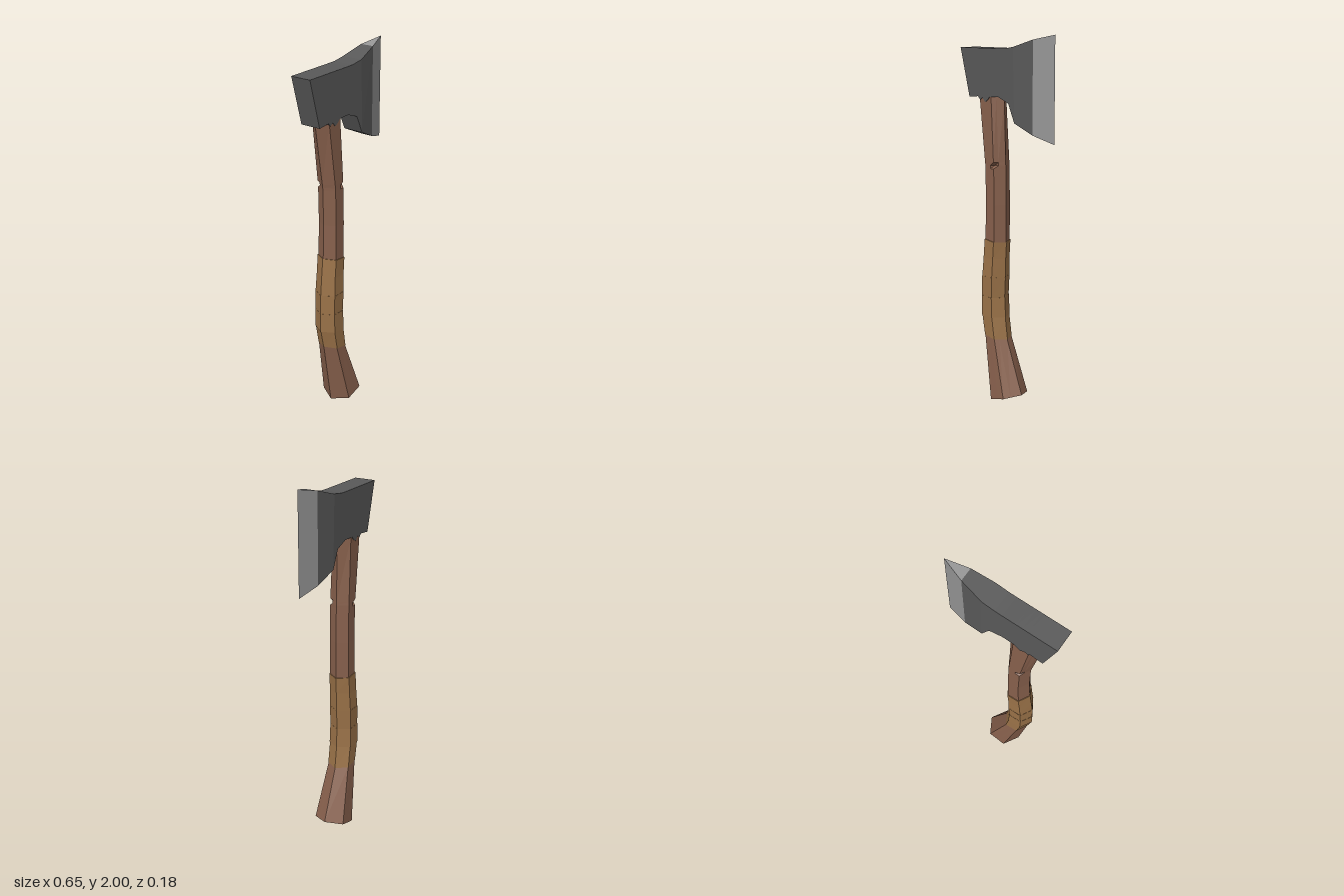
import * as THREE from 'three';

const mat = (name, color) => Object.assign(new THREE.MeshStandardMaterial({ color, flatShading: true }), { name });

// Skin a list of equal-length rings of Vector3 and close both ends
function loft(rings) {
  const tris = [];
  const n = rings[0].length;
  for (let i = 0; i < rings.length - 1; i++) {
    for (let j = 0; j < n; j++) {
      const k = (j + 1) % n;
      const [a, b, c, d] = [rings[i][j], rings[i][k], rings[i + 1][k], rings[i + 1][j]];
      tris.push([a, b, c], [a, c, d]);
    }
  }
  const first = rings[0], last = rings[rings.length - 1];
  for (let j = 1; j < n - 1; j++) {
    tris.push([first[0], first[j + 1], first[j]], [last[0], last[j], last[j + 1]]);
  }
  // Turn the surface outward when its signed volume is negative
  const cross = new THREE.Vector3();
  const volume = tris.reduce((s, [a, b, c]) => s + a.dot(cross.crossVectors(b, c)), 0);
  if (volume < 0) tris.forEach((t) => t.reverse());
  const geometry = new THREE.BufferGeometry().setFromPoints(tris.flat());
  geometry.computeVertexNormals();
  return geometry;
}

// Handle stations: left x, left y, right x, right y, half depth
const stations = [
  [-0.11, 0.005, 0.09, 0.06, 0.09],
  [-0.17, 0.375, -0.025, 0.35, 0.063],
  [-0.19, 0.48, -0.045, 0.475, 0.061],
  [-0.193, 0.59, -0.049, 0.585, 0.061],
  [-0.188, 0.70, -0.046, 0.70, 0.06],
  [-0.181, 0.80, -0.04, 0.805, 0.059],
  [-0.169, 0.91, -0.035, 0.895, 0.058],
  [-0.163, 1.10, -0.033, 1.10, 0.057],
  [-0.167, 1.295, -0.036, 1.295, 0.057],
  [-0.168, 1.312, -0.036, 1.312, 0.057],
  [-0.171, 1.33, -0.037, 1.33, 0.057],
  [-0.225, 1.67, -0.046, 1.67, 0.054],
  [-0.236, 1.75, -0.047, 1.75, 0.053],
];

// Six-sided cross-section, optionally enlarged
function hexagon([lx, ly, rx, ry, hz], grow = 0) {
  const w = rx - lx;
  const point = (f, z) => new THREE.Vector3(lx + f * w, ly + f * (ry - ly), z);
  const g = grow / w, h = hz + grow;
  return [point(-g, 0), point(0.25 - g / 2, h), point(0.75 + g / 2, h),
    point(1 + g, 0), point(0.75 + g / 2, -h), point(0.25 - g / 2, -h)];
}

// Split two opposite corners in three so a nick can be pressed into each
function nickedRing(station, nick) {
  return hexagon(station).flatMap((p, i, ring) => {
    if (i !== 2 && i !== 5) return [p];
    const before = p.clone().lerp(ring[i - 1], 0.4);
    const after = p.clone().lerp(ring[(i + 1) % 6], 0.4);
    const middle = p.clone();
    if (nick) middle.lerp(ring[(i + 3) % 6], 0.2);
    return [before, middle, after];
  });
}

// Head columns: top x, top y, bottom x, bottom y, half thickness
const headColumns = [
  [-0.33, 1.925, -0.26, 1.665, 0.057],
  [-0.22, 1.925, -0.19, 1.672, 0.057],
  [-0.19, 1.925, -0.175, 1.655, 0.057],
  [-0.17, 1.925, -0.155, 1.667, 0.057],
  [-0.14, 1.925, -0.135, 1.645, 0.057],
  [-0.11, 1.925, -0.11, 1.66, 0.057],
  [-0.10, 1.925, -0.10, 1.674, 0.057],
  [-0.03, 1.925, -0.03, 1.676, 0.057],
  [0.01, 1.926, 0.045, 1.648, 0.057],
  [0.08, 1.936, 0.09, 1.55, 0.057],
  [0.205, 1.975, 0.205, 1.495, 0.037],
];
const edgeColumns = [headColumns[headColumns.length - 1], [0.325, 2.0, 0.325, 1.455, 0]];

const rectangle = ([tx, ty, bx, by, hz]) => [
  new THREE.Vector3(tx, ty, hz), new THREE.Vector3(tx, ty, -hz),
  new THREE.Vector3(bx, by, -hz), new THREE.Vector3(bx, by, hz),
];

export function createModel() {
  const group = new THREE.Group();
  group.name = 'axe';
  const wood = mat('brown wood', 0x87604c);
  const leather = mat('tan wrap', 0x9a7248);
  const iron = mat('dark iron', 0x595959);
  const steel = mat('sharpened steel', 0x959595);

  const add = (name, geometry, material, parent = group) => {
    const mesh = new THREE.Mesh(geometry, material);
    mesh.name = name;
    parent.add(mesh);
  };

  // Curved wooden handle with a nick on the front and on the back
  add('handle', loft(stations.map((s, i) => nickedRing(s, i === 9))), wood);

  // Five wrapped bands around the grip, each a little different in thickness
  const grip = new THREE.Group();
  grip.name = 'gripWrap';
  group.add(grip);
  [[0.002, 0.004], [0.006, 0.004], [0.003, 0.006], [0.005, 0.003], [0.003, 0.004]].forEach(([low, high], i) => {
    add(`wrapBand${i + 1}`, loft([hexagon(stations[i + 1], low), hexagon(stations[i + 2], high)]), leather, grip);
  });

  // Flat-sided head and its bevelled cutting edge
  add('axeHead', loft(headColumns.map(rectangle)), iron);
  add('cuttingEdge', loft(edgeColumns.map(rectangle)), steel);

  return group;
}
